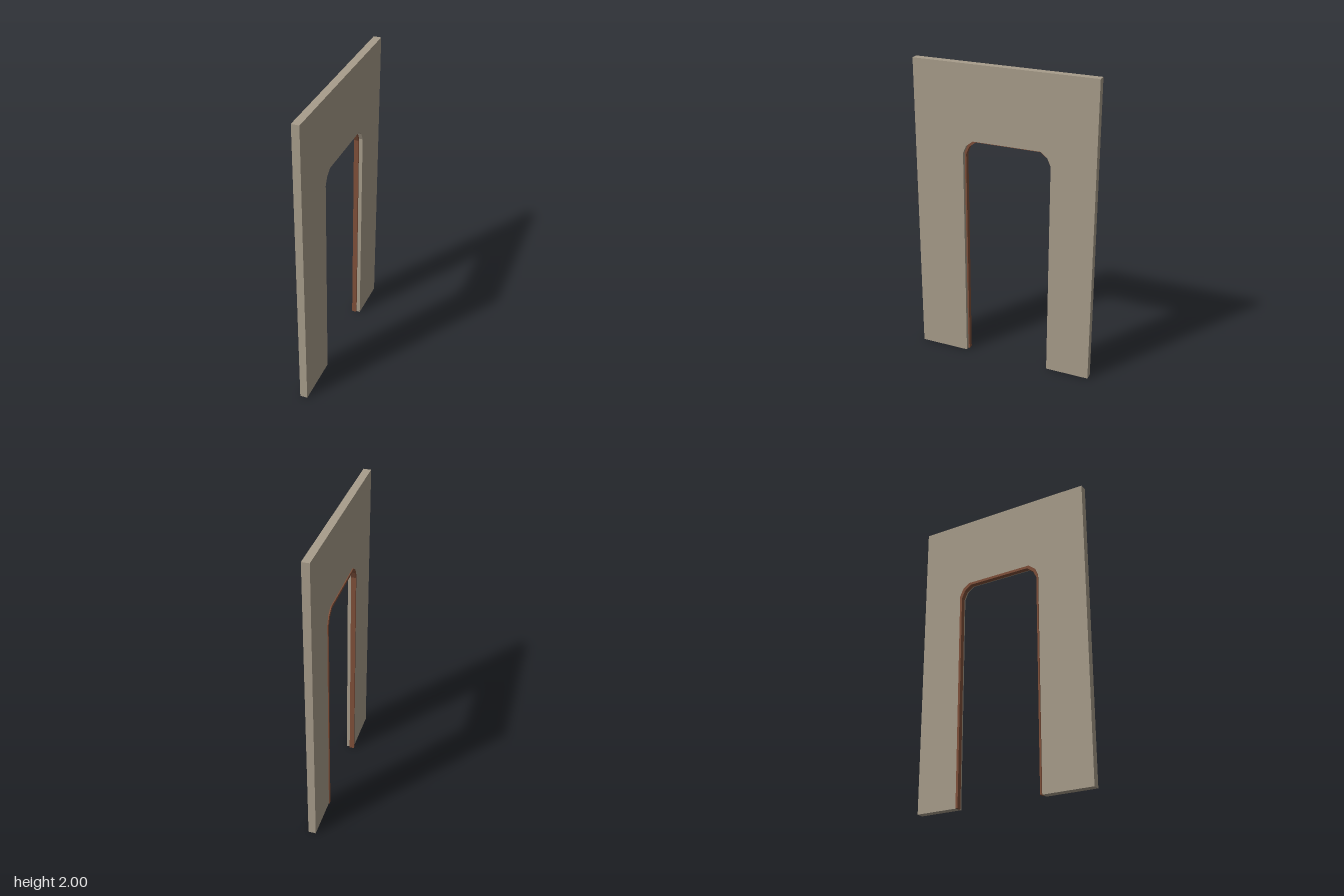
import * as THREE from 'three';

// Arch outline as [z, y] points: straight jambs with two-segment chamfered corners
function archPoints(z0, z1, top, bottom = 0) {
  const left = [[z0, bottom], [z0, top - 0.085], [z0 + 0.022, top - 0.035], [z0 + 0.067, top]];
  const right = left.map(([z, y]) => [z1 - (z - z0), y]).reverse();
  return [...left, ...right];
}

// Extrude a closed [z, y] outline across x, from xMin to xMax
function slab(name, points, xMin, xMax, color) {
  const shape = new THREE.Shape(points.map(([z, y]) => new THREE.Vector2(z, y)));
  const geometry = new THREE.ExtrudeGeometry(shape, { depth: xMax - xMin, bevelEnabled: false });
  geometry.rotateY(-Math.PI / 2).translate(xMax, 0, 0);
  const mesh = new THREE.Mesh(geometry, new THREE.MeshStandardMaterial({ color }));
  mesh.name = name;
  return mesh;
}

export function createModel() {
  const group = new THREE.Group();
  group.name = 'doorwayWall';

  // Wall panel with the doorway cut up from the floor
  const wallOutline = [[-0.6, 0], [-0.6, 2], [0.6, 2], [0.6, 0], ...archPoints(-0.312, 0.27, 1.515).reverse()];
  group.add(slab('wall', wallOutline, -0.022, 0.027, 0xa89d8b));

  // Thin door frame lining part of the opening and standing proud of one side
  const frameOutline = [...archPoints(-0.318, 0.271, 1.52), ...archPoints(-0.303, 0.26, 1.503).reverse()];
  group.add(slab('doorFrame', frameOutline, -0.028, 0.003, 0x80503a));

  return group;
}
